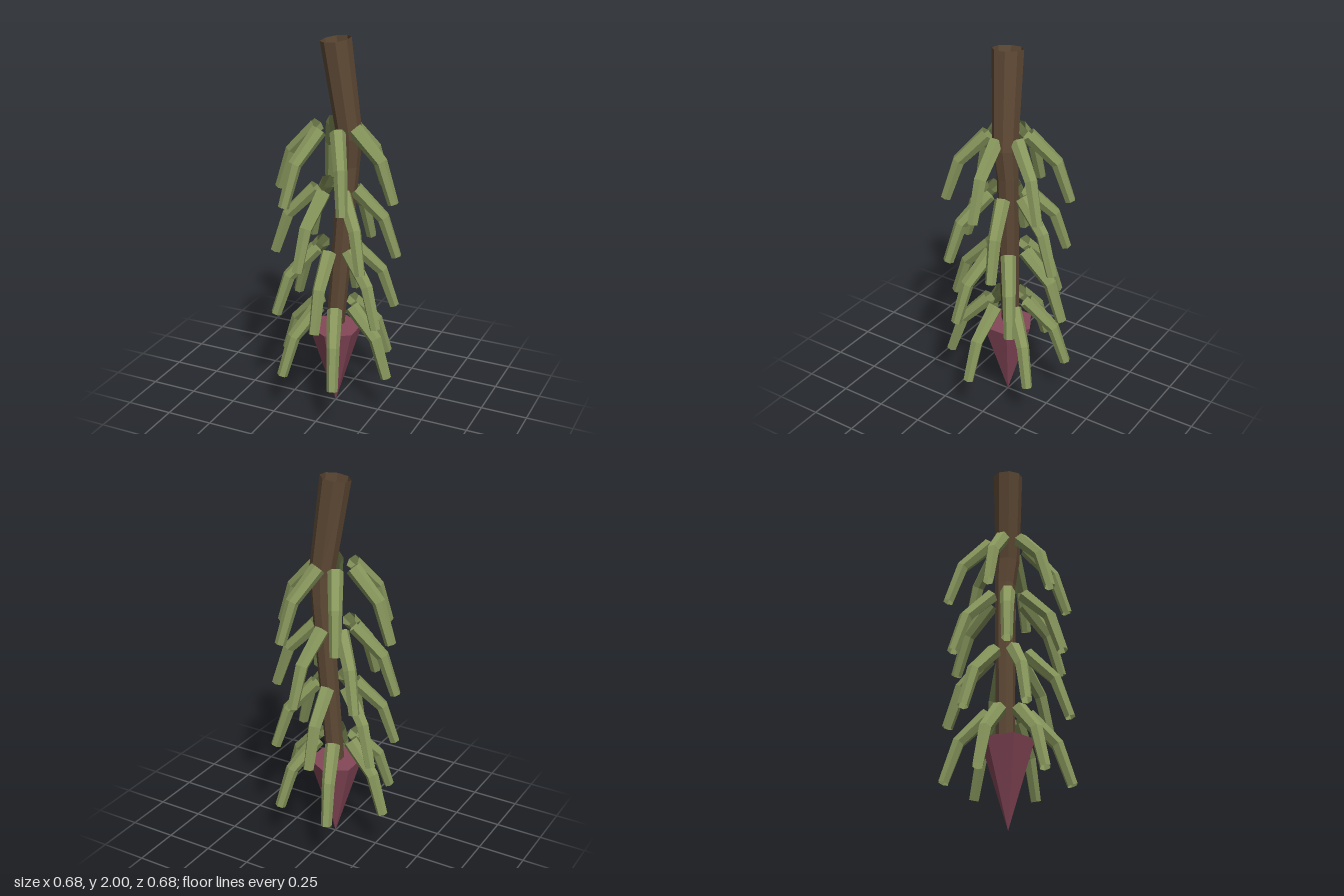
import * as THREE from 'three';

const material = (name, color) => {
  const m = new THREE.MeshStandardMaterial({ color, flatShading: true, side: THREE.DoubleSide });
  m.name = name;
  return m;
};

// Open faceted tube through points [x, y, z, radius], each ring square to the path
function taperedTube(points, sides, phase) {
  const centres = points.map(([x, y, z]) => new THREE.Vector3(x, y, z));
  const positions = [], index = [];
  centres.forEach((c, i) => {
    const before = centres[Math.max(i - 1, 0)];
    const after = centres[Math.min(i + 1, centres.length - 1)];
    const t = after.clone().sub(before).normalize();
    const b = new THREE.Vector3(0, 0, 1).addScaledVector(t, -t.z).normalize();
    const n = new THREE.Vector3().crossVectors(t, b);
    for (let j = 0; j < sides; j++) {
      const a = phase + (j / sides) * Math.PI * 2;
      const p = c.clone()
        .addScaledVector(b, Math.cos(a) * points[i][3])
        .addScaledVector(n, -Math.sin(a) * points[i][3]);
      positions.push(p.x, p.y, p.z);
      if (i > 0) {
        const k = (j + 1) % sides;
        const p0 = (i - 1) * sides, p1 = i * sides;
        index.push(p0 + j, p1 + j, p0 + k, p0 + k, p1 + j, p1 + k);
      }
    }
  });
  const g = new THREE.BufferGeometry();
  g.setAttribute('position', new THREE.Float32BufferAttribute(positions, 3));
  g.setIndex(index);
  g.computeVertexNormals();
  return g;
}

export function createModel() {
  const model = new THREE.Group();
  model.name = 'hangingFruitCluster';
  const brown = material('stemBrown', 0x5e4935);
  const green = material('fruitGreen', 0x87965c);
  const purple = material('budPurple', 0x854758);

  // Bent hollow stem
  const stem = new THREE.Mesh(taperedTube([
    [0, 1.992, 0, 0.078],
    [0.065, 1.5, -0.025, 0.065],
    [0.057, 1.35, -0.035, 0.055],
    [-0.005, 0.47, -0.012, 0.048],
  ], 8, Math.PI / 8), brown);
  stem.name = 'stem';
  model.add(stem);

  // Four tiers of six drooping fruits, each tier turned a little
  const fruitGeometry = taperedTube([
    [0.1, 0, 0, 0.04],
    [0.245, -0.15, 0, 0.034],
    [0.315, -0.36, 0, 0.028],
  ], 6, 0);
  for (let tier = 0; tier < 4; tier++) {
    const hand = new THREE.Group();
    hand.name = `fruitTier${tier + 1}`;
    hand.position.y = 1.55 - tier * 0.32;
    hand.rotation.y = tier * 0.3;
    for (let i = 0; i < 6; i++) {
      const fruit = new THREE.Mesh(fruitGeometry, green);
      fruit.name = 'fruit';
      fruit.rotation.y = (i / 6) * Math.PI * 2;
      hand.add(fruit);
    }
    model.add(hand);
  }

  // Pointed flower bud at the bottom
  const bud = new THREE.Mesh(new THREE.ConeGeometry(0.14, 0.45, 6), purple);
  bud.name = 'flowerBud';
  bud.rotation.x = Math.PI;
  bud.position.y = 0.225;
  model.add(bud);

  return model;
}
